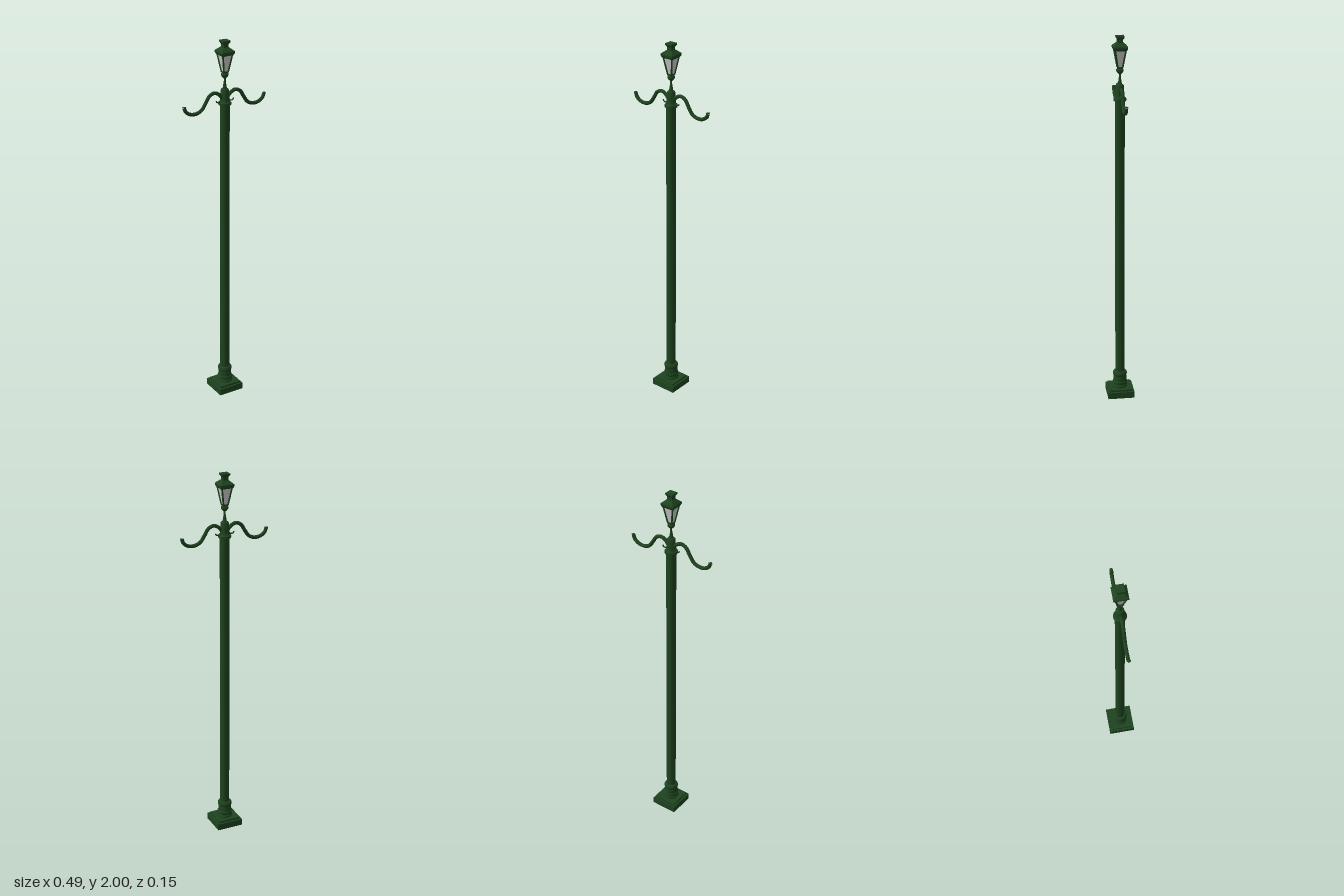
import * as THREE from 'three';
import { toCreasedNormals } from 'three/addons/utils/BufferGeometryUtils.js';

export function createModel() {
  const model = new THREE.Group();
  model.name = 'streetLamp';
  const green = new THREE.MeshStandardMaterial({ color: 0x1e431f });
  green.name = 'dark green paint';
  const glass = new THREE.MeshStandardMaterial({ color: 0xc8cac8 });
  glass.name = 'pale glass';

  const add = (name, geometry, material = green, parent = model) => {
    const mesh = new THREE.Mesh(geometry, material);
    mesh.name = name;
    parent.add(mesh);
    return mesh;
  };
  // Round part turned from [radius, height] points, bottom to top
  const turned = (name, points) => add(name, toCreasedNormals(
    new THREE.LatheGeometry(points.map(p => new THREE.Vector2(...p)), 20), 0.6));
  // Square tapering block from half width a at y0 to half width b at y1
  const square = (name, a, b, y0, y1, material = green, parent = model) => {
    const g = new THREE.CylinderGeometry(b * Math.SQRT2, a * Math.SQRT2, y1 - y0, 4);
    g.rotateY(Math.PI / 4);
    g.translate(0, (y0 + y1) / 2, 0);
    return add(name, toCreasedNormals(g, 0.5), material, parent);
  };
  const tube = (name, points, radius, segments, parent) => {
    const curve = new THREE.CatmullRomCurve3(points.map(p => new THREE.Vector3(p[0], p[1], p[2] || 0)));
    return add(name, new THREE.TubeGeometry(curve, segments, radius, 10), green, parent);
  };

  // Stepped square base
  square('basePlinth', 0.0725, 0.0725, 0, 0.036);
  square('baseStep', 0.0615, 0.0615, 0.036, 0.046);

  // Moulded pedestal
  turned('pedestal', [
    [0, 0.046], [0.041, 0.046], [0.041, 0.053], [0.036, 0.06], [0.036, 0.066],
    [0.04, 0.07], [0.04, 0.078], [0.036, 0.083], [0.036, 0.105], [0.034, 0.113],
    [0.038, 0.118], [0.039, 0.124], [0.038, 0.131], [0.034, 0.137], [0.025, 0.139]
  ]);

  // Long column, collar, neck and lantern stem
  turned('column', [[0.0255, 0.13], [0.0255, 1.67]]);
  turned('collar', [
    [0.025, 1.664], [0.033, 1.667], [0.034, 1.673], [0.033, 1.679],
    [0.027, 1.684], [0.024, 1.69], [0.024, 1.708], [0.022, 1.716],
    [0.021, 1.744], [0.018, 1.75], [0.011, 1.752], [0.009, 1.765],
    [0.005, 1.79], [0.005, 1.804], [0.009, 1.808]
  ]);
  turned('lanternKnob', [
    [0.005, 1.804], [0.012, 1.81], [0.019, 1.82], [0.019, 1.828], [0.013, 1.836], [0, 1.838]
  ]);

  // Pair of S-shaped arms with small scrolls beneath
  for (const side of [1, -1]) {
    const arm = new THREE.Group();
    arm.name = side > 0 ? 'leftArm' : 'rightArm';
    model.add(arm);
    const path = [
      [0.015, 1.7], [0.03, 1.721], [0.06, 1.736], [0.09, 1.725], [0.112, 1.692],
      [0.135, 1.66], [0.165, 1.646], [0.2, 1.648], [0.227, 1.666], [0.237, 1.69]
    ].map(([x, y]) => [x * side, y]);
    tube('armTube', path, 0.0095, 48, arm);
    // Closed ends of the arm
    const cap = add('armTip', new THREE.SphereGeometry(0.0095, 10, 6), green, arm);
    cap.scale.y = 0.3;
    cap.position.set(0.237 * side, 1.69, 0);
    const scroll = [
      [0.018, 1.7], [0.028, 1.688], [0.038, 1.683], [0.048, 1.686], [0.052, 1.694]
    ].map(([x, y]) => [x * side, y]);
    tube('armScroll', scroll, 0.0035, 16, arm);
  }

  // Square lantern with glass panes and corner bars
  const lantern = new THREE.Group();
  lantern.name = 'lantern';
  model.add(lantern);
  square('lanternFoot', 0.012, 0.015, 1.832, 1.842, green, lantern);
  square('glassPanes', 0.012, 0.027, 1.842, 1.93, glass, lantern);
  for (const sx of [1, -1]) for (const sz of [1, -1]) {
    const bar = [[0.012 * sx, 1.838, 0.012 * sz], [0.028 * sx, 1.932, 0.028 * sz]];
    tube('cornerBar', bar, 0.0045, 1, lantern);
  }
  square('lanternRim', 0.031, 0.037, 1.926, 1.938, green, lantern);
  square('roofEdge', 0.037, 0.037, 1.938, 1.947, green, lantern);
  square('roof', 0.037, 0.017, 1.947, 1.965, green, lantern);
  square('chimney', 0.014, 0.014, 1.96, 1.984, green, lantern);
  square('chimneyFlare', 0.014, 0.021, 1.982, 1.992, green, lantern);
  square('chimneyCap', 0.021, 0.021, 1.992, 2, green, lantern);
  return model;
}
